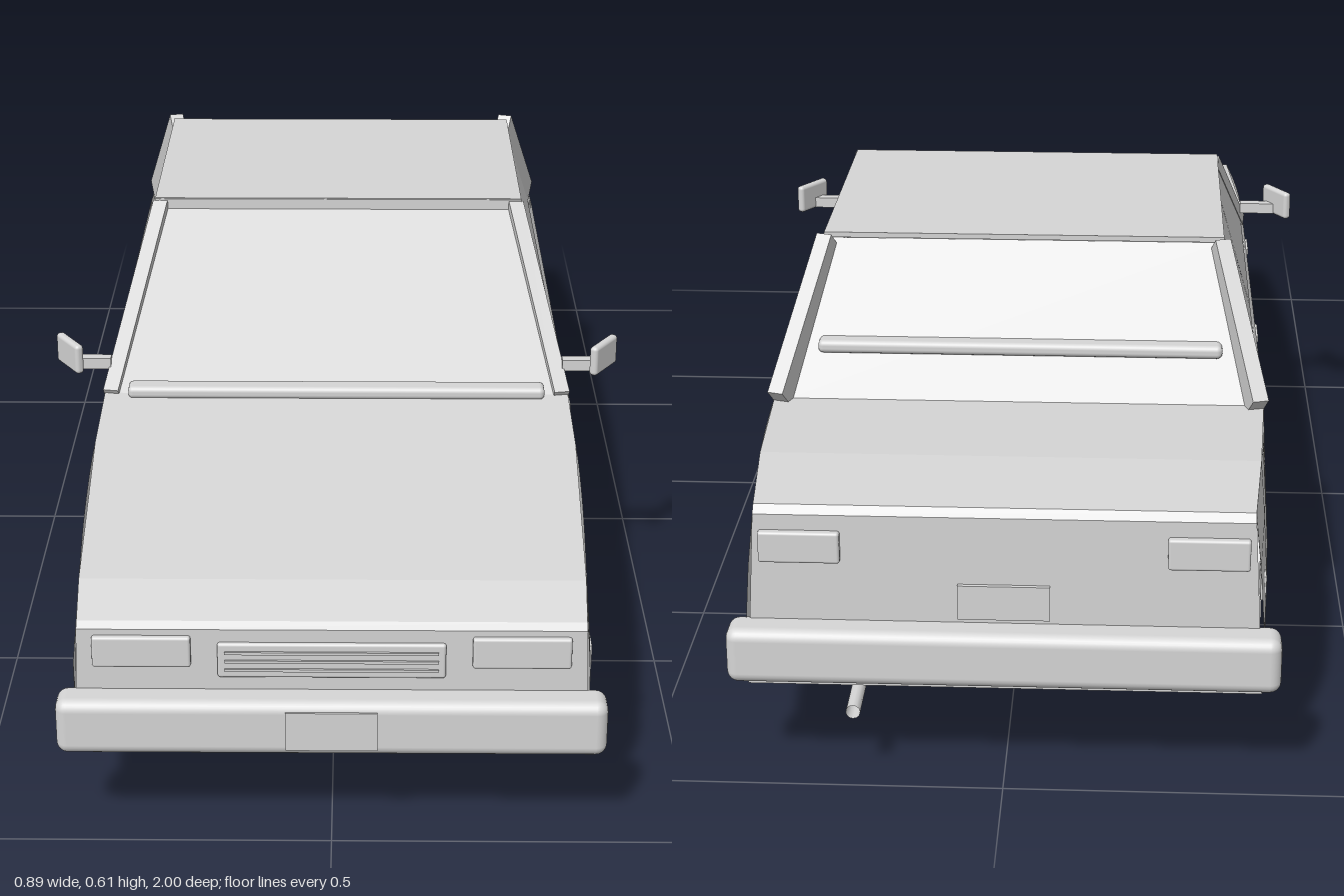
import * as THREE from 'three';
import { RoundedBoxGeometry } from 'three/addons/geometries/RoundedBoxGeometry.js';

const grey = new THREE.MeshStandardMaterial({ color: 0xd6d6d6, side: THREE.DoubleSide });
grey.name = 'plain grey';

const WHEEL_Z = [0.575, -0.56], WHEEL_Y = 0.13, ARCH_R = 0.17, FLOOR_Y = 0.13;

// top edge of the body as [z, y], front to back
const HOOD = [[0.955, 0.305], [0.945, 0.313], [0.87, 0.337], [0.5, 0.374], [0.35, 0.39]];
const TRUNK = [[-0.58, 0.4], [-0.8, 0.408], [-0.945, 0.396], [-0.955, 0.385]];
const TOP = [...HOOD, ...TRUNK];

// half width of the body: tapers to both ends and leans in above the waist
function halfWidth(z, y) {
  const end = Math.max(0, Math.abs(z) - 0.55) / 0.4;
  return 0.368 - 0.016 * end * end - Math.max(0, y - 0.25) * (0.04 + 0.07 * end);
}

function topAt(z) {
  let i = 0;
  while (i < TOP.length - 2 && z < TOP[i + 1][0]) i++;
  const [za, ya] = TOP[i], [zb, yb] = TOP[i + 1];
  return ya + (yb - ya) * (z - za) / (zb - za);
}

function bottomAt(z) {
  for (const c of WHEEL_Z) {
    const d = ARCH_R ** 2 - (z - c) ** 2;
    if (d > 0) return WHEEL_Y + Math.sqrt(d);
  }
  return FLOOR_Y;
}

// flat-shaded surface through rows of [x, y, z] points
function loft(rows) {
  const pos = [];
  for (let i = 0; i + 1 < rows.length; i++) {
    for (let j = 0; j + 1 < rows[i].length; j++) {
      const a = rows[i][j], b = rows[i][j + 1], c = rows[i + 1][j + 1], d = rows[i + 1][j];
      pos.push(...a, ...b, ...c, ...a, ...c, ...d);
    }
  }
  const g = new THREE.BufferGeometry();
  g.setAttribute('position', new THREE.Float32BufferAttribute(pos, 3));
  g.computeVertexNormals();
  return g;
}

export function createModel() {
  const car = new THREE.Group();
  car.name = 'car';

  const add = (name, geometry, x = 0, y = 0, z = 0) => {
    const mesh = new THREE.Mesh(geometry, grey);
    mesh.name = name;
    mesh.position.set(x, y, z);
    car.add(mesh);
    return mesh;
  };
  const box = (name, w, h, d, x, y, z) => add(name, new THREE.BoxGeometry(w, h, d), x, y, z);
  const rounded = (name, w, h, d, r, x, y, z) => add(name, new RoundedBoxGeometry(w, h, d, 3, r), x, y, z);

  // sheet across the car through [z, y, halfWidth] stations
  const sheet = (name, stations) =>
    add(name, loft(stations.map(([z, y, w = halfWidth(z, y)]) => [[-w, y, z], [w, y, z]])));

  // straight bar between two points
  const bar = (name, a, b, w, d) => {
    const from = new THREE.Vector3(...a), to = new THREE.Vector3(...b);
    const m = add(name, new THREE.BoxGeometry(w, d, from.distanceTo(to)));
    m.position.copy(from).add(to).multiplyScalar(0.5);
    m.lookAt(to);
    return m;
  };

  // body skin across the car
  sheet('frontAndHood', [[0.955, FLOOR_Y], ...HOOD]);
  sheet('trunkAndRear', [...TRUNK, [-0.955, FLOOR_Y]]);
  sheet('bodyFloor', [[0.955, FLOOR_Y, 0.345], [-0.955, FLOOR_Y, 0.345]]);

  // shallow tray under the floor
  sheet('underTray', [[0.83, 0.13, 0.33], [0.83, 0.103, 0.33], [-0.85, 0.103, 0.33], [-0.85, 0.13, 0.33]]);

  // columns of the body side, dense over the wheel arches
  const columns = TOP.map(p => p[0]).concat([0.15, -0.1, -0.25]);
  for (const c of WHEEL_Z)
    for (let i = 0; i <= 16; i++) columns.push(c + ARCH_R * Math.cos(Math.PI * i / 16));
  columns.sort((a, b) => b - a);

  // side windows drawn as (z, y) on the leaning cabin plane
  const cabinX = y => 0.357 - (y - 0.395) * 0.29;
  const windows = [
    [[0.33, 0.39], [0.04, 0.587], [-0.129, 0.587], [-0.129, 0.39]],
    [[-0.132, 0.39], [-0.132, 0.587], [-0.41, 0.587], [-0.58, 0.39]],
  ];

  // tyre section: radius, offset along the axle
  const tyre = new THREE.LatheGeometry([[0.085, 0.036], [0.098, 0.045], [0.112, 0.0475], [0.123, 0.042],
    [0.129, 0.028], [0.13, 0], [0.129, -0.028], [0.123, -0.042], [0.112, -0.0475], [0.098, -0.045],
    [0.085, -0.036], [0.085, 0.036]].map(p => new THREE.Vector2(...p)), 40).rotateZ(Math.PI / 2);
  const archLip = new THREE.CylinderGeometry(ARCH_R, ARCH_R, 0.05, 24, 1, true, 0, Math.PI).rotateZ(Math.PI / 2);
  const bolt = new THREE.CylinderGeometry(0.003, 0.003, 0.01, 8).rotateZ(Math.PI / 2);

  for (const s of [1, -1]) {
    add('bodySide', loft(columns.map(z => {
      const low = bottomAt(z), high = topAt(z);
      return [0, 0.35, 0.7, 1].map(t => {
        const y = low + (high - low) * t;
        return [s * halfWidth(z, y), y, z];
      });
    })));
    for (const [a, b, c, d] of windows) {
      const at = ([z, y]) => [s * cabinX(y), y, z];
      add('sideWindow', loft([[at(a), at(b)], [at(d), at(c)]]));
    }

    // wheels and arches
    for (const z of WHEEL_Z) {
      add('tyre', tyre, s * 0.3125, WHEEL_Y, z);
      add('archLip', archLip, s * 0.334, WHEEL_Y, z);
      for (let i = 0; i < 5; i++) {
        const a = Math.PI / 2 + i * Math.PI * 0.4;
        add('wheelBolt', bolt, s * 0.33, WHEEL_Y + 0.03 * Math.sin(a), z + 0.03 * Math.cos(a));
      }
    }

    // sills between and beyond the wheels
    for (const [a, b] of [[0.83, 0.72], [0.43, -0.41], [-0.7, -0.85]])
      box('sill', 0.012, 0.025, a - b, s * 0.332, 0.1175, (a + b) / 2);

    // pillars
    bar('frontPillar', [s * 0.352, 0.388, 0.35], [s * 0.293, 0.592, 0.03], 0.024, 0.02);
    bar('rearPillar', [s * 0.348, 0.395, -0.588], [s * 0.293, 0.582, -0.407], 0.024, 0.07);

    // door mirrors, swept back
    box('mirrorArm', 0.06, 0.018, 0.018, s * 0.385, 0.425, 0.308);
    rounded('mirrorHead', 0.072, 0.048, 0.014, 0.006, s * 0.42, 0.438, 0.303).rotation.y = s * 1.0;

    // door handles and side markers
    for (const z of [0.29, -0.155]) box('doorHandle', 0.012, 0.009, 0.06, s * 0.364, 0.355, z);
    box('frontMarker', 0.008, 0.03, 0.05, s * 0.361, 0.2, 0.81);
    box('rearMarker', 0.008, 0.035, 0.05, s * 0.353, 0.25, -0.85);

    // lamps
    rounded('headlight', 0.134, 0.046, 0.016, 0.004, s * 0.258, 0.273, 0.955);
    rounded('tailLight', 0.11, 0.045, 0.016, 0.004, s * 0.275, 0.34, -0.957);
  }

  // grille with slats
  rounded('grille', 0.31, 0.052, 0.014, 0.004, 0, 0.26, 0.954);
  for (let i = 0; i < 3; i++) box('grilleSlat', 0.29, 0.004, 0.006, 0, 0.247 + i * 0.013, 0.961);

  // bumpers, plates and exhaust
  rounded('frontBumper', 0.75, 0.082, 0.055, 0.016, 0, 0.173, 0.97);
  rounded('rearBumper', 0.75, 0.08, 0.058, 0.016, 0, 0.19, -0.969);
  box('frontPlate', 0.125, 0.058, 0.004, 0, 0.173, 0.998);
  box('rearPlate', 0.125, 0.05, 0.008, 0, 0.262, -0.957);
  const exhaust = new THREE.CylinderGeometry(0.01, 0.01, 0.1, 12, 1, true).rotateX(Math.PI / 2);
  add('exhaust', exhaust, 0.205, 0.105, -0.935);

  // roof and glass
  box('roof', 0.605, 0.008, 0.445, 0, 0.6, -0.19);
  box('windscreenHeader', 0.605, 0.018, 0.02, 0, 0.594, 0.025);
  sheet('windscreen', [[0.35, 0.39, 0.345], [0.025, 0.592, 0.29]]);
  rounded('windscreenSill', 0.65, 0.02, 0.035, 0.008, 0, 0.396, 0.35);
  sheet('rearWindow', [[-0.41, 0.595, 0.295], [-0.58, 0.4, 0.34]]);
  rounded('rearWindowBar', 0.6, 0.02, 0.035, 0.008, 0, 0.465, -0.522);
  return car;
}
